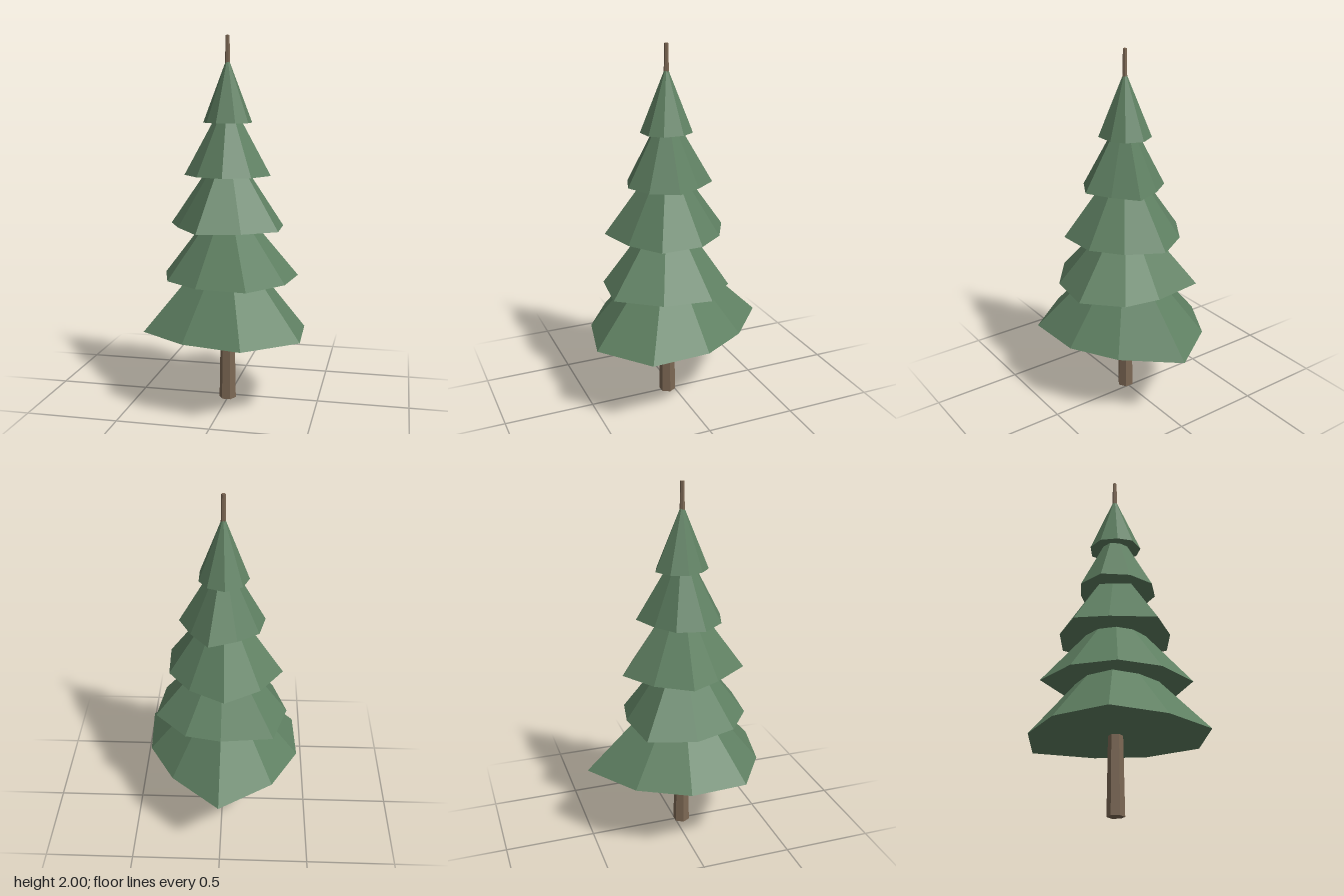
import * as THREE from 'three';

const AXIS_X = -0.003, AXIS_Z = 0.038;

// Each tier: base height, tip height, irregular nine-sided rim as [x, z]
const TIERS = [
  { y: 0.42, tip: 0.95, rim: [[0.005, -0.515], [0.273, -0.283], [0.418, -0.03], [0.434, 0.296], [0.164, 0.512], [-0.156, 0.444], [-0.418, 0.269], [-0.434, -0.048], [-0.287, -0.316]] },
  { y: 0.70, tip: 1.17, rim: [[0, -0.283], [0.197, -0.245], [0.374, -0.064], [0.339, 0.198], [0.172, 0.414], [-0.1, 0.381], [-0.29, 0.239], [-0.366, 0.004], [-0.287, -0.25]] },
  { y: 0.98, tip: 1.45, rim: [[-0.02, -0.305], [0.172, -0.198], [0.292, -0.042], [0.3, 0.19], [0.126, 0.31], [-0.101, 0.365], [-0.25, 0.16], [-0.333, -0.004], [-0.21, -0.187]] },
  { y: 1.26, tip: 1.69, rim: [[0.068, -0.2], [0.167, -0.075], [0.238, 0.061], [0.158, 0.203], [0.016, 0.266], [-0.131, 0.217], [-0.23, 0.094], [-0.197, -0.059], [-0.082, -0.141]] },
  { y: 1.54, tip: 1.89, rim: [[-0.016, -0.113], [0.077, -0.078], [0.123, -0.007], [0.123, 0.105], [0.066, 0.168], [-0.036, 0.176], [-0.1, 0.119], [-0.14, 0.03], [-0.107, -0.061]] },
];

// Faceted cone over an irregular rim, closed with a flat underside
function tierGeometry({ y, tip, rim }) {
  const pos = [];
  rim.forEach(([ax, az], i) => {
    const [bx, bz] = rim[(i + 1) % rim.length];
    pos.push(bx, y, bz, ax, y, az, AXIS_X, tip, AXIS_Z);
    pos.push(ax, y, az, bx, y, bz, AXIS_X, y, AXIS_Z);
  });
  const g = new THREE.BufferGeometry();
  g.setAttribute('position', new THREE.Float32BufferAttribute(pos, 3));
  g.computeVertexNormals();
  return g;
}

export function createModel() {
  const tree = new THREE.Group();
  tree.name = 'pineTree';

  const needles = new THREE.MeshStandardMaterial({ color: 0x5f8062 });
  needles.name = 'needleGreen';
  const bark = new THREE.MeshStandardMaterial({ color: 0x7c6854 });
  bark.name = 'barkBrown';

  // Tapered six-sided trunk running up through the tip
  const trunkGeometry = new THREE.CylinderGeometry(0.011, 0.047, 2, 6, 1, false, Math.PI / 2).toNonIndexed();
  trunkGeometry.computeVertexNormals();
  const trunk = new THREE.Mesh(trunkGeometry, bark);
  trunk.name = 'trunk';
  trunk.position.set(AXIS_X, 1, AXIS_Z);
  tree.add(trunk);

  // Five tiers of branches
  TIERS.forEach((tier, i) => {
    const mesh = new THREE.Mesh(tierGeometry(tier), needles);
    mesh.name = `branchTier${i + 1}`;
    tree.add(mesh);
  });

  return tree;
}
